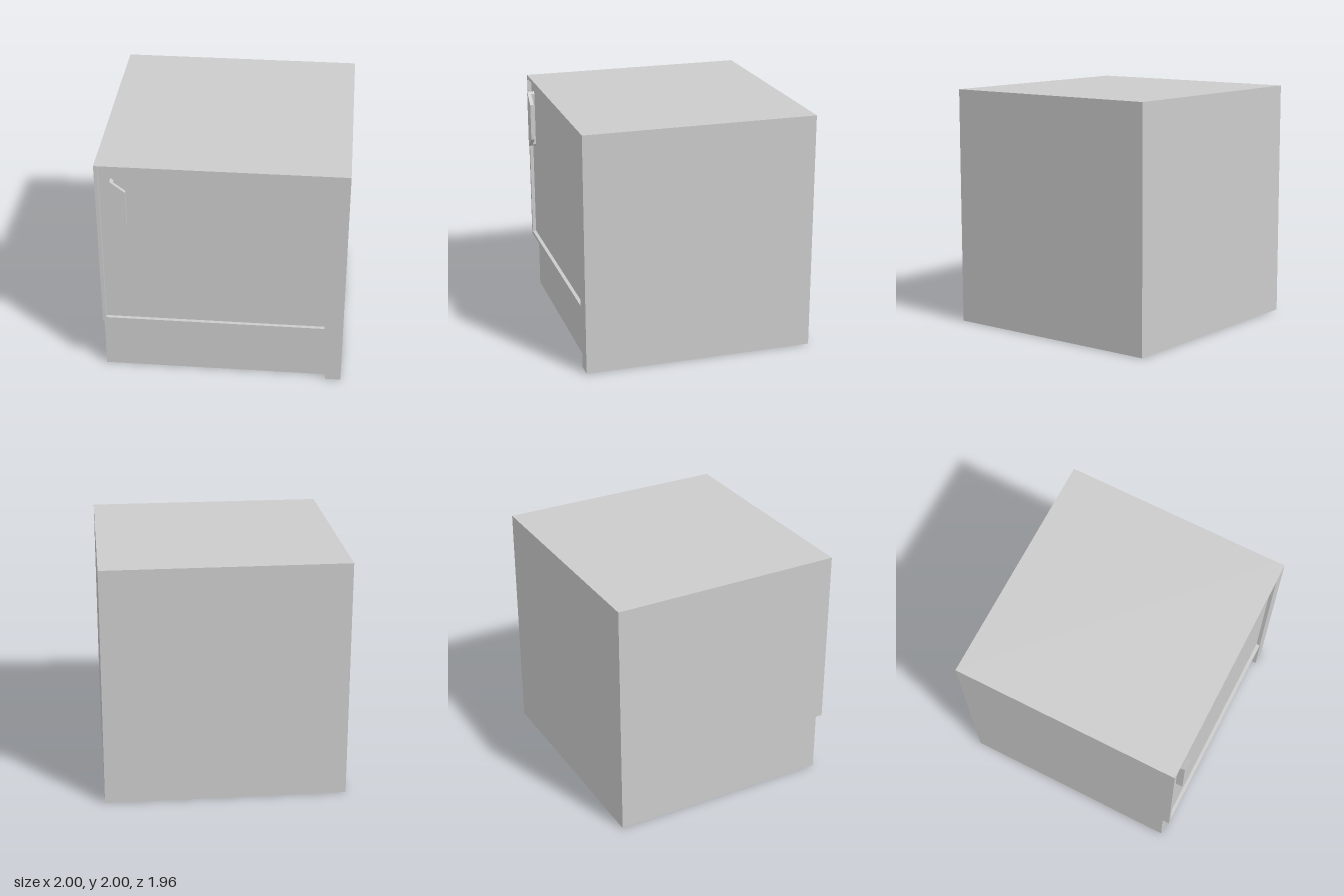
import * as THREE from 'three';

const material = new THREE.MeshStandardMaterial({ color: 0xcccccc, flatShading: true });

// Extrude a front-facing outline from z0 to z1, with an optional hole
function slab(name, points, z0, z1, hole) {
  const toVec = (p) => new THREE.Vector2(p[0], p[1]);
  const shape = new THREE.Shape(points.map(toVec));
  if (hole) shape.holes.push(new THREE.Path(hole.map(toVec)));
  const geometry = new THREE.ExtrudeGeometry(shape, { depth: z1 - z0, bevelEnabled: false });
  geometry.translate(0, 0, z0);
  const mesh = new THREE.Mesh(geometry, material);
  mesh.name = name;
  return mesh;
}

const rect = (x0, y0, x1, y1) => [[x0, y0], [x1, y0], [x1, y1], [x0, y1]];

// Part of the tapered grip outline between its left edge and x
function gripOutline(x) {
  const left = -0.875, drop = (x - left) * 0.78;
  return [[left, 1.38], [x, 1.38 + drop], [x, 1.88 - drop], [left, 1.88]];
}

export function createModel() {
  const model = new THREE.Group();
  model.name = 'cabinet';

  const back = -0.98, kick = 0.89, panel = 0.92, front = 0.95;

  // Main block, whose lower front shows as the set-back kick plate
  model.add(slab('cabinetBody', rect(-1, 0, 1, 2), back, kick));

  // Front frame with a full-height post on the left and an opening for the door
  const opening = rect(-0.97, 0.53, 0.845, 1.97);
  const frame = [[0.87, 0], [1, 0], [1, 2], [-1, 2], [-1, 0.5], [0.87, 0.5]];
  model.add(slab('frontFrame', frame, kick, front, opening));

  // Door sunk into the frame
  model.add(slab('doorPanel', opening, kick, panel));

  // Handle: narrow stem on the door carrying a wider tapered grip
  const handle = new THREE.Group();
  handle.name = 'doorHandle';
  handle.add(slab('handleStem', gripOutline(-0.852), panel, front));
  handle.add(slab('handleGrip', gripOutline(-0.755), front, 0.98));
  model.add(handle);

  return model;
}
